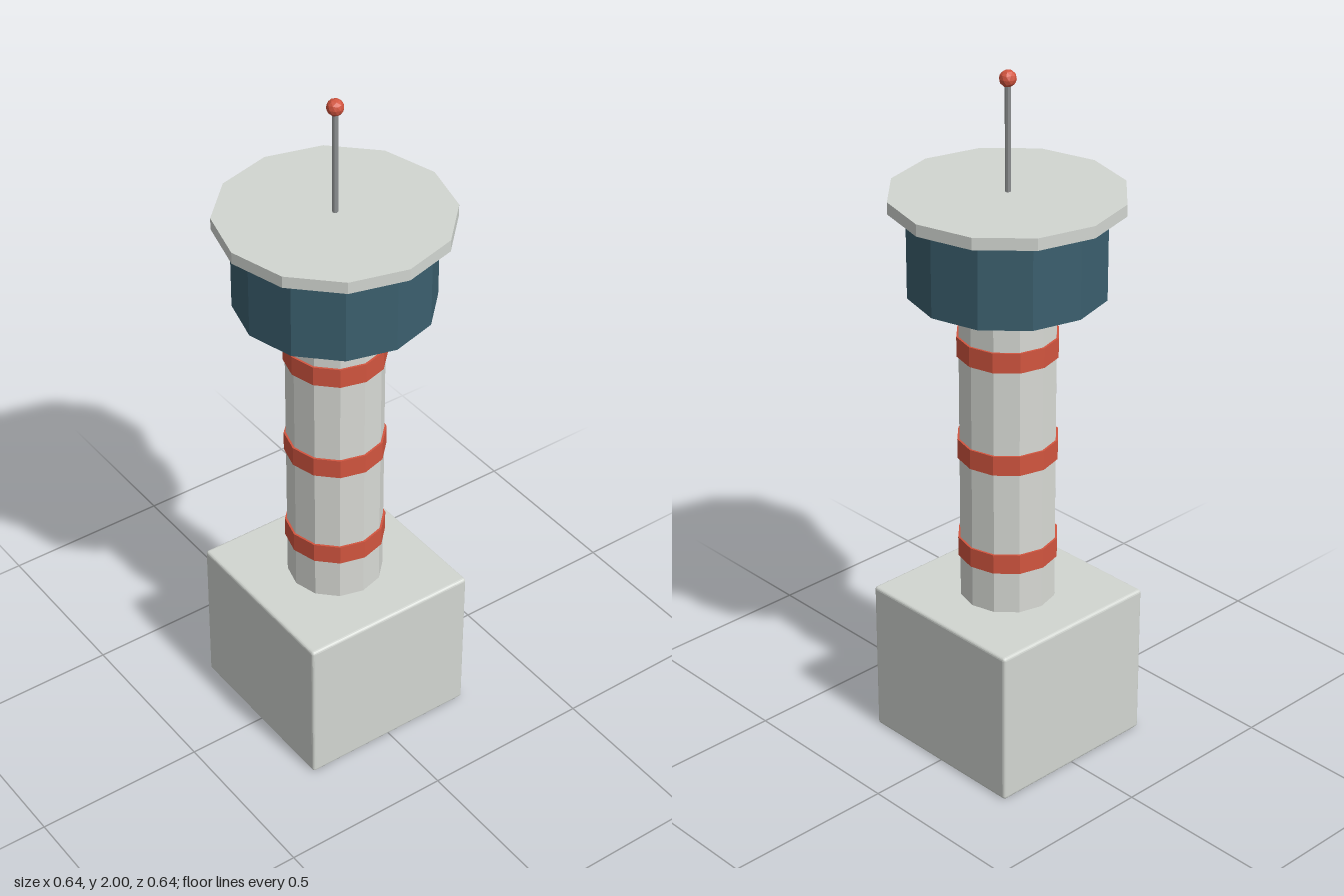
import * as THREE from 'three';
import { RoundedBoxGeometry } from 'three/addons/geometries/RoundedBoxGeometry.js';

const paint = (name, color, flatShading = true) => {
  const m = new THREE.MeshStandardMaterial({ color, flatShading });
  m.name = name;
  return m;
};

export function createModel() {
  const concrete = paint('concrete', 0xd2d6d1);
  const shaftWhite = paint('shaftWhite', 0xd8dad5);
  const red = paint('signalRed', 0xd2553f);
  const glass = paint('tintedGlass', 0x3b5f6e);
  const metal = paint('mastMetal', 0x8c8f90);

  const tower = new THREE.Group();
  tower.name = 'controlTower';

  const add = (name, geometry, material, y) => {
    const mesh = new THREE.Mesh(geometry, material);
    mesh.name = name;
    mesh.position.y = y;
    tower.add(mesh);
    return mesh;
  };
  // Upright prism between two heights
  const prism = (name, radius, y0, y1, material, sides = 12) =>
    add(name, new THREE.CylinderGeometry(radius, radius, y1 - y0, sides), material, (y0 + y1) / 2);

  // Base building with slightly softened edges
  add('baseBuilding', new RoundedBoxGeometry(0.535, 0.461, 0.535, 2, 0.009), concrete, 0.2305);

  // Shaft and its painted bands
  prism('shaft', 0.136, 0.45, 1.39, shaftWhite);
  [0.617, 0.924, 1.232].forEach((y, i) =>
    prism(`shaftBand${i + 1}`, 0.142, y - 0.029, y + 0.029, red));

  // Glazed cabin and overhanging roof
  prism('cabin', 0.274, 1.388, 1.632, glass);
  prism('roof', 0.322, 1.632, 1.666, concrete);

  // Mast with a faceted beacon, one vertex pointing up
  prism('mast', 0.008, 1.66, 1.97, metal, 8);
  const beacon = add('beacon', new THREE.IcosahedronGeometry(0.0235, 1), red, 1.9765);
  beacon.rotation.x = -Math.atan((1 + Math.sqrt(5)) / 2);

  return tower;
}
